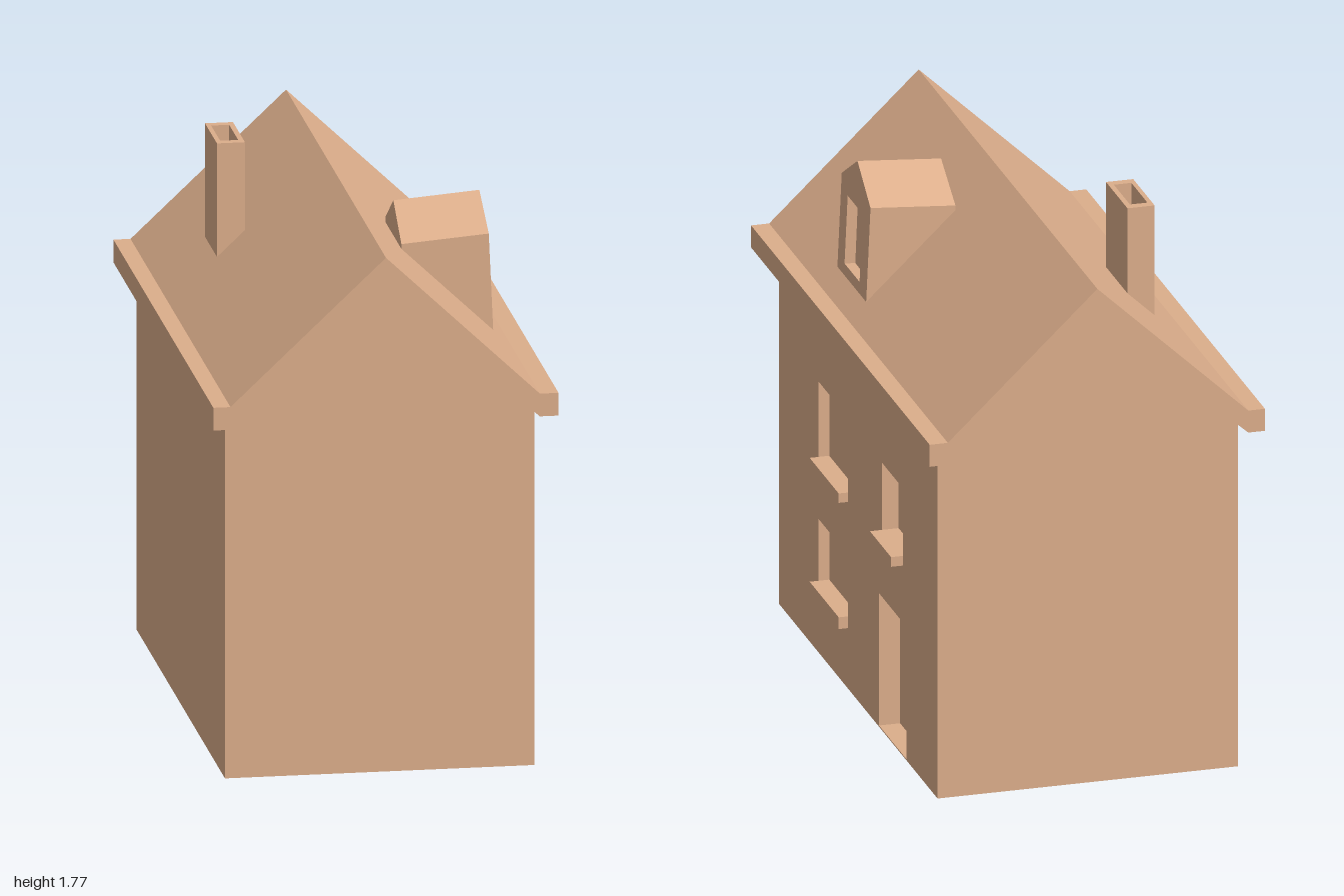
import * as THREE from 'three';

const material = new THREE.MeshStandardMaterial({ color: 0xdcae8b, flatShading: true });

const polygon = (points) => new THREE.Shape(points.map(([x, y]) => new THREE.Vector2(x, y)));
const rect = (x0, x1, y0, y1) => polygon([[x0, y0], [x1, y0], [x1, y1], [x0, y1]]);

function extrude(shape, depth, holes = []) {
  shape.holes.push(...holes);
  return new THREE.ExtrudeGeometry(shape, { depth, bevelEnabled: false });
}

// Extrudes a shape drawn in (-z, y) along x, from x0 to x1
const extrudeX = (shape, x0, x1, holes) =>
  extrude(shape, x1 - x0, holes).rotateY(Math.PI / 2).translate(x0, 0, 0);

export function createModel() {
  const house = new THREE.Group();
  house.name = 'house';

  const add = (name, geometry) => {
    const mesh = new THREE.Mesh(geometry, material);
    mesh.name = name;
    house.add(mesh);
  };
  const addBox = (name, [x0, x1], [y0, y1], [z0, z1]) =>
    add(name, new THREE.BoxGeometry(x1 - x0, y1 - y0, z1 - z0)
      .translate((x0 + x1) / 2, (y0 + y1) / 2, (z0 + z1) / 2));

  const wallX = 0.495, recessX = 0.425, eaveY = 1.18, backZ = -0.885, frontZ = 0.89;

  // Solid gabled body, stepped in behind the facade
  add('body', extrude(polygon([
    [-0.5, 0], [recessX, 0], [recessX, eaveY], [wallX, eaveY], [0, 1.62], [-0.5, eaveY],
  ]), frontZ - backZ).translate(0, 0, backZ));

  // Window openings on the facade: z range, y range, sill and recess
  const windows = [
    { z: [0.12, 0.445], y: [0.245, 0.455], sillY: 0.205, sillX: 0.525, depth: 0.035 },
    { z: [0.12, 0.445], y: [0.667, 0.923], sillY: 0.635, sillX: 0.525, depth: 0.035 },
    { z: [-0.5, -0.263], y: [0.683, 0.912], sillY: 0.65, sillX: 0.535, depth: 0.055 },
  ];

  // Facade with the doorway cut from its lower edge
  const door = { z: [-0.535, -0.23], top: 0.455 };
  add('facade', extrudeX(polygon([
    [-frontZ, 0], [-door.z[1], 0], [-door.z[1], door.top], [-door.z[0], door.top],
    [-door.z[0], 0], [-backZ, 0], [-backZ, eaveY], [-frontZ, eaveY],
  ]), recessX, wallX, windows.map(({ z, y }) => rect(-z[1], -z[0], y[0], y[1]))));
  addBox('doorStep', [recessX, wallX], [0, 0.004], door.z);

  for (const { z, y, sillY, sillX, depth } of windows) {
    addBox('windowPane', [recessX, wallX - depth], y, z);
    addBox('windowSill', [wallX - 0.02, sillX], [sillY, y[0]], z);
  }

  // Roof slab with square eaves
  add('roof', extrude(polygon([
    [-0.555, 1.18], [-0.5, 1.18], [0, 1.62], [0.495, 1.18], [0.555, 1.18],
    [0.555, 1.255], [0.495, 1.255], [0, 1.725], [-0.5, 1.255], [-0.555, 1.255],
  ]), 2).translate(0, 0, -1));

  // Dormer: gabled block with a recessed window, its front leaning slightly back
  const lean = (geometry) => {
    const p = geometry.attributes.position;
    for (let i = 0; i < p.count; i++) {
      const x = p.getX(i), y = p.getY(i);
      const forward = (x - 0.14) / 0.296;
      p.setXY(i, x - 0.045 * (y - 1.3) * forward, y - 0.075 * (0.436 - x));
    }
    geometry.computeVertexNormals();
    return geometry;
  };
  const dormerShape = () => polygon([
    [-0.437, 1.3], [-0.115, 1.3], [-0.115, 1.63], [-0.276, 1.73], [-0.437, 1.63],
  ]);
  add('dormer', lean(extrudeX(dormerShape(), 0.14, 0.4)));
  add('dormerFront', lean(extrudeX(dormerShape(), 0.4, 0.436, [rect(-0.363, -0.195, 1.35, 1.58)])));

  // Hollow chimney
  add('chimney', extrude(rect(-0.345, -0.255, 0.235, 0.475), 0.415,
    [rect(-0.33, -0.272, 0.265, 0.445)]).rotateX(-Math.PI / 2).translate(0, 1.36, 0));
  addBox('chimneyFloor', [-0.33, -0.272], [1.38, 1.6], [-0.445, -0.265]);

  return house;
}
